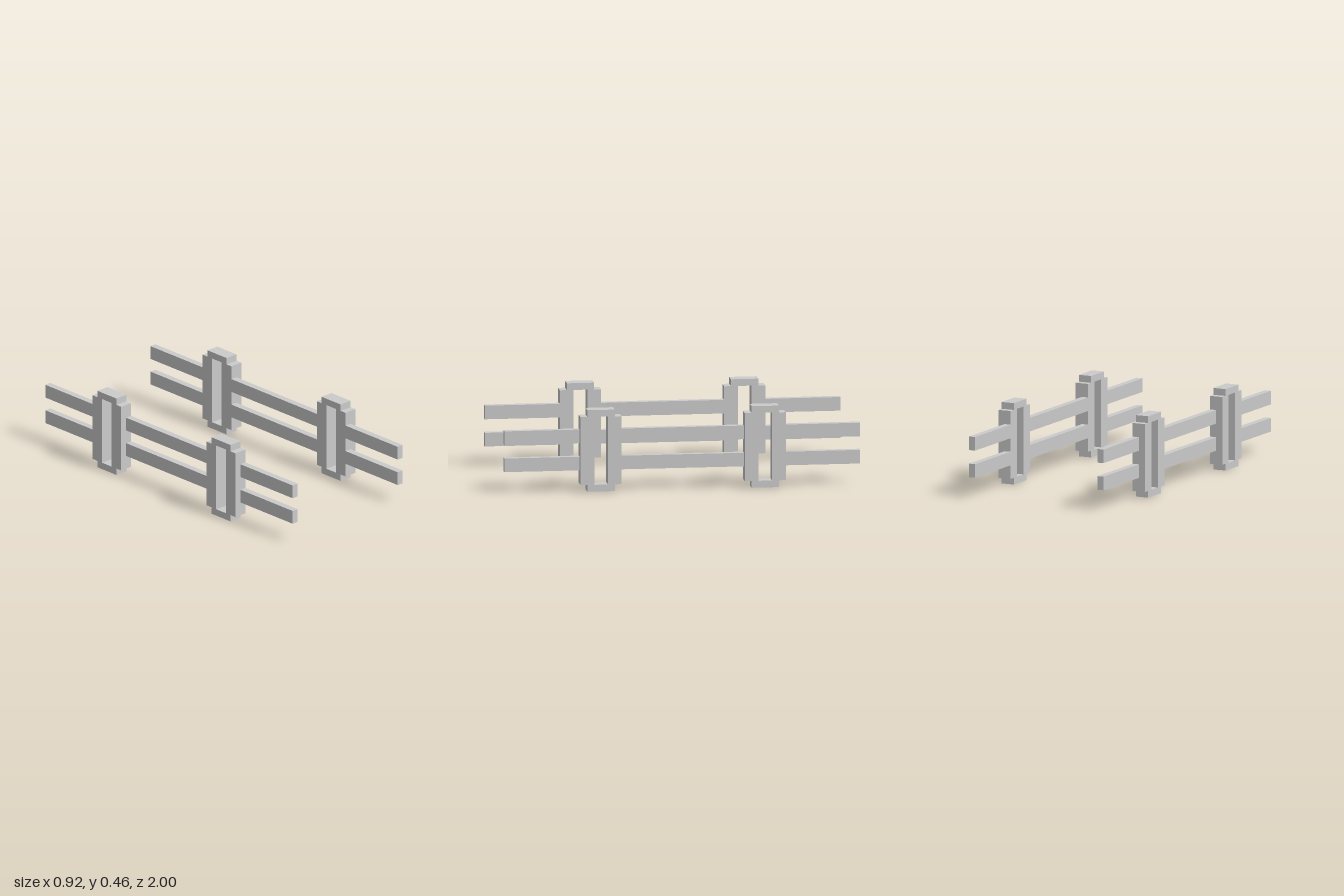
import * as THREE from 'three';

const U = 1 / 26; // building unit: the model is 52 units long

export function createModel() {
  const model = new THREE.Group();
  const material = new THREE.MeshStandardMaterial({ color: 0xcccccc, flatShading: true });

  // Post frame: tall outline with notched corners and a rectangular slot
  const points = (list) => list.map(([a, b]) => new THREE.Vector2(a * U, b * U));
  const outline = new THREE.Shape(points([
    [-2, 0], [2, 0], [2, 1], [3, 1], [3, 11], [2, 11],
    [2, 12], [-2, 12], [-2, 11], [-3, 11], [-3, 1], [-2, 1],
  ]));
  outline.holes.push(new THREE.Path(points([[-1, 1], [-1, 11], [1, 11], [1, 1]])));
  const frameGeometry = new THREE.ExtrudeGeometry(outline, { depth: 2 * U, bevelEnabled: false });
  frameGeometry.translate(0, 0, -U).rotateY(-Math.PI / 2);

  // Rail runs stop at the frames, leaving the slots open
  const runs = [[-26, -15], [-9, 9], [15, 26]];

  for (const side of [1, -1]) {
    const fence = new THREE.Group();
    fence.name = side > 0 ? 'leftFence' : 'rightFence';

    for (const z of [12, -12]) {
      const frame = new THREE.Mesh(frameGeometry, material);
      frame.name = z > 0 ? 'frontPostFrame' : 'backPostFrame';
      frame.position.set(side * 11 * U, 0, z * U);
      fence.add(frame);
    }

    // Two rails, flush with the inner face of the frames
    for (const y of [4, 8]) {
      for (const [z0, z1] of runs) {
        const rail = new THREE.Mesh(new THREE.BoxGeometry(U, 2 * U, (z1 - z0) * U), material);
        rail.name = y === 4 ? 'lowerRail' : 'upperRail';
        rail.position.set(side * 10.5 * U, y * U, (z0 + z1) / 2 * U);
        fence.add(rail);
      }
    }
    model.add(fence);
  }
  return model;
}
